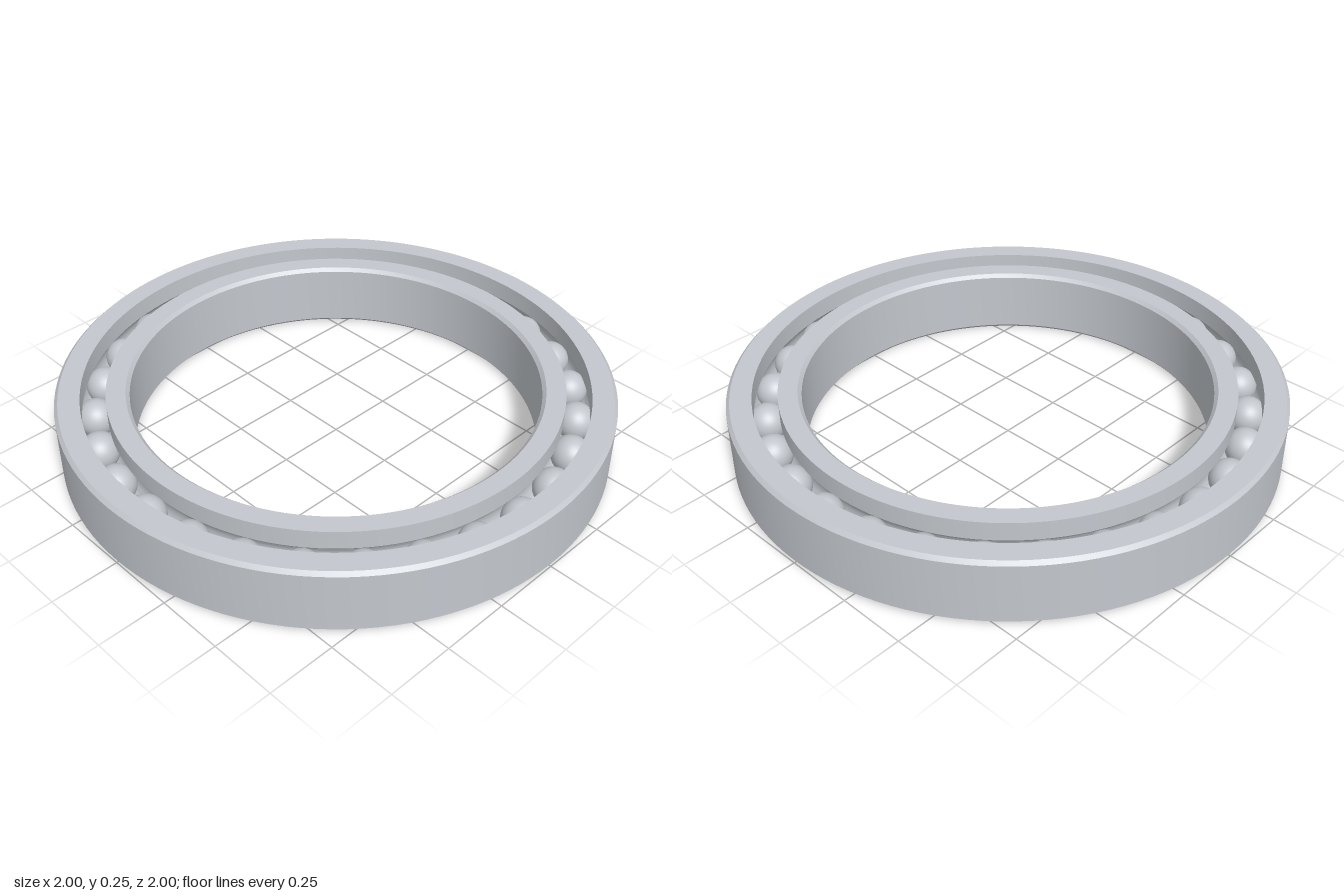
import * as THREE from 'three';
import { toCreasedNormals } from 'three/addons/utils/BufferGeometryUtils.js';

const H = 0.25;          // bearing height
const C = 0.013;         // edge chamfer
const BORE = 0.737;      // inner ring, inside radius
const INNER = 0.82;      // inner ring, outside radius
const OUTER = 0.91;      // outer ring, inside radius
const PITCH = (INNER + OUTER) / 2;
const BALL_R = 0.07;
const GROOVE_R = 0.071;
const BALLS = 28;

// Arc of the ball race, from one angle to another around the ball centre
function groove(from, to, steps = 14) {
  return Array.from({ length: steps + 1 }, (_, i) => {
    const a = from + ((to - from) * i) / steps;
    return [PITCH + GROOVE_R * Math.cos(a), H / 2 + GROOVE_R * Math.sin(a)];
  });
}

// Closed ring turned from a counter-clockwise (radius, height) profile
function ring(name, profile, material) {
  const points = [...profile, profile[0]].map(([r, y]) => new THREE.Vector2(r, y));
  const geometry = toCreasedNormals(new THREE.LatheGeometry(points, 128), 0.5);
  const mesh = new THREE.Mesh(geometry, material);
  mesh.name = name;
  return mesh;
}

export function createModel() {
  const model = new THREE.Group();
  model.name = 'ballBearing';
  const steel = new THREE.MeshStandardMaterial({ color: 0xc3c7cd });
  steel.name = 'steel';

  const half = Math.acos((OUTER - PITCH) / GROOVE_R);

  // Outer ring: chamfered outside edges, race on the inside
  model.add(ring('outerRing', [
    [OUTER, 0], [1 - C, 0], [1, C], [1, H - C], [1 - C, H], [OUTER, H],
    ...groove(half, -half),
  ], steel));

  // Inner ring: chamfered bore, race on the outside
  model.add(ring('innerRing', [
    [BORE + C, 0], [INNER, 0],
    ...groove(Math.PI + half, Math.PI - half),
    [INNER, H], [BORE + C, H], [BORE, H - C], [BORE, C],
  ], steel));

  // Balls evenly spaced in the race
  const balls = new THREE.Group();
  balls.name = 'balls';
  const ballGeometry = new THREE.SphereGeometry(BALL_R, 32, 20);
  for (let i = 0; i < BALLS; i++) {
    const a = (i / BALLS) * Math.PI * 2;
    const ball = new THREE.Mesh(ballGeometry, steel);
    ball.name = 'ball';
    ball.position.set(PITCH * Math.cos(a), H / 2, PITCH * Math.sin(a));
    balls.add(ball);
  }
  model.add(balls);

  return model;
}
